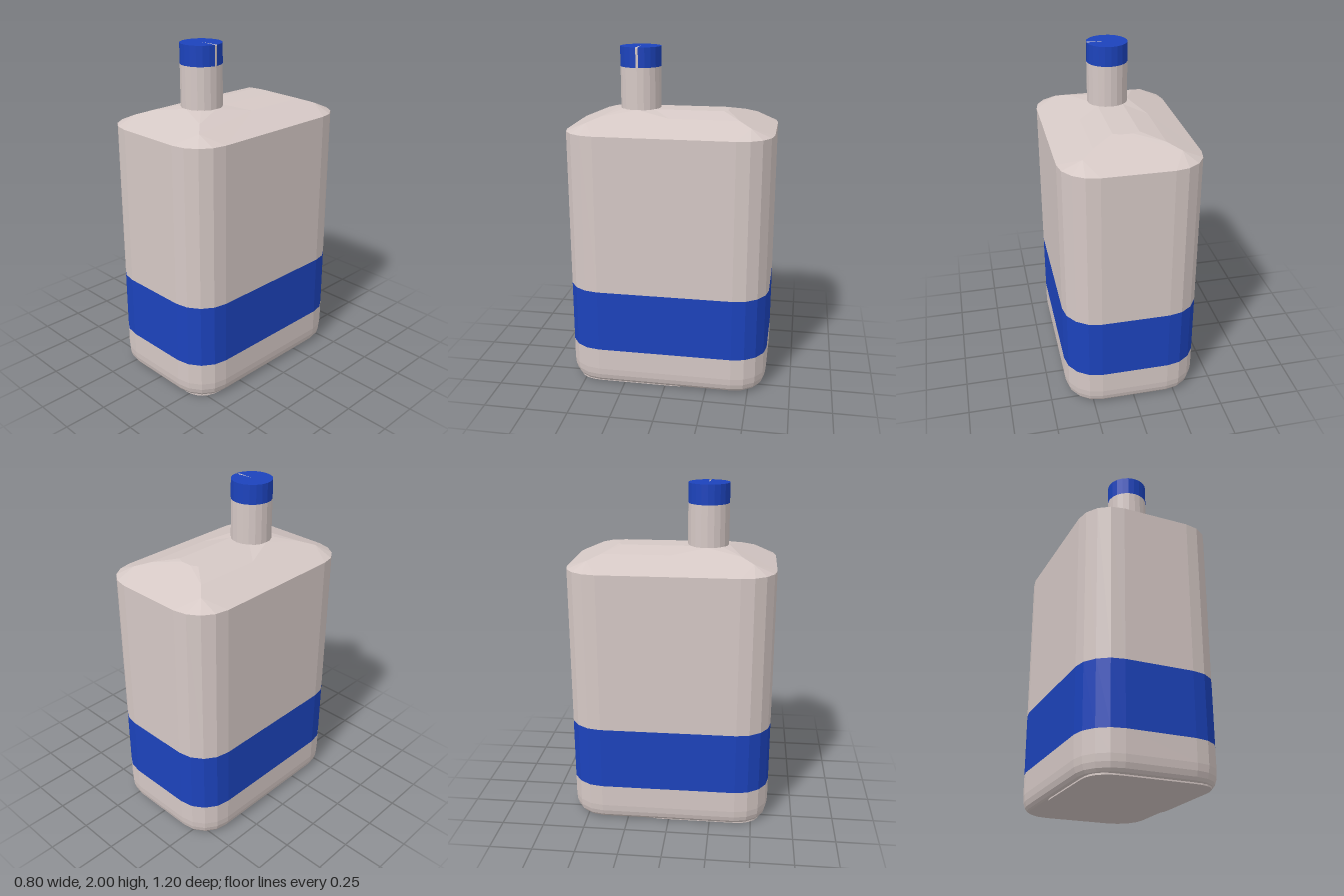
import * as THREE from 'three';

const body = new THREE.MeshStandardMaterial({ color: 0xd5c8c5, flatShading: true, side: THREE.DoubleSide });
const blue = new THREE.MeshStandardMaterial({ color: 0x1c43bc, flatShading: true, side: THREE.DoubleSide });

function mesh(name, geometry, material) {
  const m = new THREE.Mesh(geometry, material);
  m.name = name;
  return m;
}

function fromTriangles(pos) {
  const g = new THREE.BufferGeometry();
  g.setAttribute('position', new THREE.Float32BufferAttribute(pos, 3));
  g.computeVertexNormals();
  return g;
}

// Rounded rectangle outline, four facets per corner, shrunk by an inset
function ring(y, inset = 0) {
  const pts = [], r = 0.2 - inset;
  [[1, 1], [-1, 1], [-1, -1], [1, -1]].forEach(([sx, sz], c) => {
    for (let i = 0; i <= 4; i++) {
      const a = (c + i / 4) * Math.PI / 2;
      pts.push([sx * 0.2 + r * Math.cos(a), y, sz * 0.4 + r * Math.sin(a)]);
    }
  });
  return pts;
}

// Wall through [height, inset] pairs, with an optional floor
function wall(profile, floor = false) {
  const rings = profile.map(([y, inset]) => ring(y, inset)), pos = [];
  const n = rings[0].length;
  for (let k = 0; k + 1 < rings.length; k++) {
    for (let i = 0; i < n; i++) {
      const j = (i + 1) % n, lo = rings[k], up = rings[k + 1];
      pos.push(...lo[i], ...up[i], ...up[j], ...lo[i], ...up[j], ...lo[j]);
    }
  }
  if (floor) {
    for (let i = 0; i < n; i++) pos.push(0, profile[0][0], 0, ...rings[0][i], ...rings[0][(i + 1) % n]);
  }
  return fromTriangles(pos);
}

// Faceted shoulder: fans for the right half, mirrored, all facing up
function shoulder() {
  const Y0 = 1.54, Y1 = 1.615, Y2 = 1.645;
  const A = [0.2, Y1, 0.4], B = [0.2, Y1, 0], C = [0.2, Y1, -0.4];
  const D = [0.075, Y2, -0.3], E = [0.075, Y2, 0.106], F = [0.12, Y2, 0.2], G = [0.085, Y2, 0.285];
  const H = [0, Y2, 0.32], I = [0, Y2, -0.32], J = [0.035, Y2, -0.32];
  const K = [0.27, 1.589, 0.47], L = [0.27, 1.589, -0.47];
  const edge = ring(Y0), front = edge.slice(0, 5), back = edge.slice(15, 20);
  const fans = [
    [H, A, K, front[4], [0, Y0, 0.6]],
    [I, [0, Y0, -0.6], back[0], L, C, J],
    [J, C, D],
    [B, C, L, back[4], front[0], K, A],
    [K, ...front], [L, ...back],
    [B, C, D, E], [B, E, F], [B, F, A], [A, F, G], [A, G, H],
    [[0, Y2, 0.106], E, D, J, I]
  ];
  const pos = [];
  const tri = (a, b, c) => {
    const ny = (b[2] - a[2]) * (c[0] - a[0]) - (b[0] - a[0]) * (c[2] - a[2]);
    pos.push(...a, ...(ny > 0 ? [...b, ...c] : [...c, ...b]));
  };
  for (const s of [1, -1]) {
    for (const fan of fans) {
      const p = fan.map(([x, y, z]) => [s * x, y, z]);
      for (let i = 1; i + 1 < p.length; i++) tri(p[0], p[i], p[i + 1]);
    }
  }
  return fromTriangles(pos);
}

// Shallow raised pad under the front part of the base
function basePad() {
  const s = new THREE.Shape(), x = 0.36, f = 0.56, b = -0.17, r = 0.16, q = 0.12;
  s.moveTo(-x + r, f).lineTo(x - r, f);
  s.quadraticCurveTo(x, f, x, f - r).lineTo(x, b + q);
  s.quadraticCurveTo(x, b, x - q, b).lineTo(-x + q, b);
  s.quadraticCurveTo(-x, b, -x, b + q).lineTo(-x, f - r);
  s.quadraticCurveTo(-x, f, -x + r, f);
  const g = new THREE.ExtrudeGeometry(s, { depth: 0.01, bevelEnabled: false, curveSegments: 6 });
  return g.rotateX(Math.PI / 2).translate(0, 0.01, 0);
}

export function createModel() {
  const bottle = new THREE.Group();
  bottle.name = 'bottle';

  // Body in three flush bands
  bottle.add(
    mesh('lowerBody', wall([[0.008, 0.037], [0.014, 0.025], [0.03, 0.013], [0.06, 0.004], [0.1, 0], [0.23, 0]], true), body),
    mesh('labelBand', wall([[0.23, 0], [0.605, 0]]), blue),
    mesh('upperBody', wall([[0.605, 0], [1.54, 0]]), body),
    mesh('shoulder', shoulder(), body),
    mesh('basePad', basePad(), body)
  );

  // Neck, with a cap sleeve that leaves a narrow seam on the left side
  const neck = mesh('neck', new THREE.CylinderGeometry(0.12, 0.12, 0.25, 20), body);
  neck.position.set(0, 1.76, 0.2);
  const core = mesh('neckCore', new THREE.CylinderGeometry(0.117, 0.117, 0.11, 20), body);
  core.position.set(0, 1.94, 0.2);
  const gap = 0.12;
  const cap = mesh('cap', new THREE.CylinderGeometry(0.12, 0.12, 0.115, 20, 1, false,
    Math.PI / 2 + gap / 2, Math.PI * 2 - gap), blue);
  cap.position.set(0, 1.9425, 0.2);
  bottle.add(neck, core, cap);

  return bottle;
}
